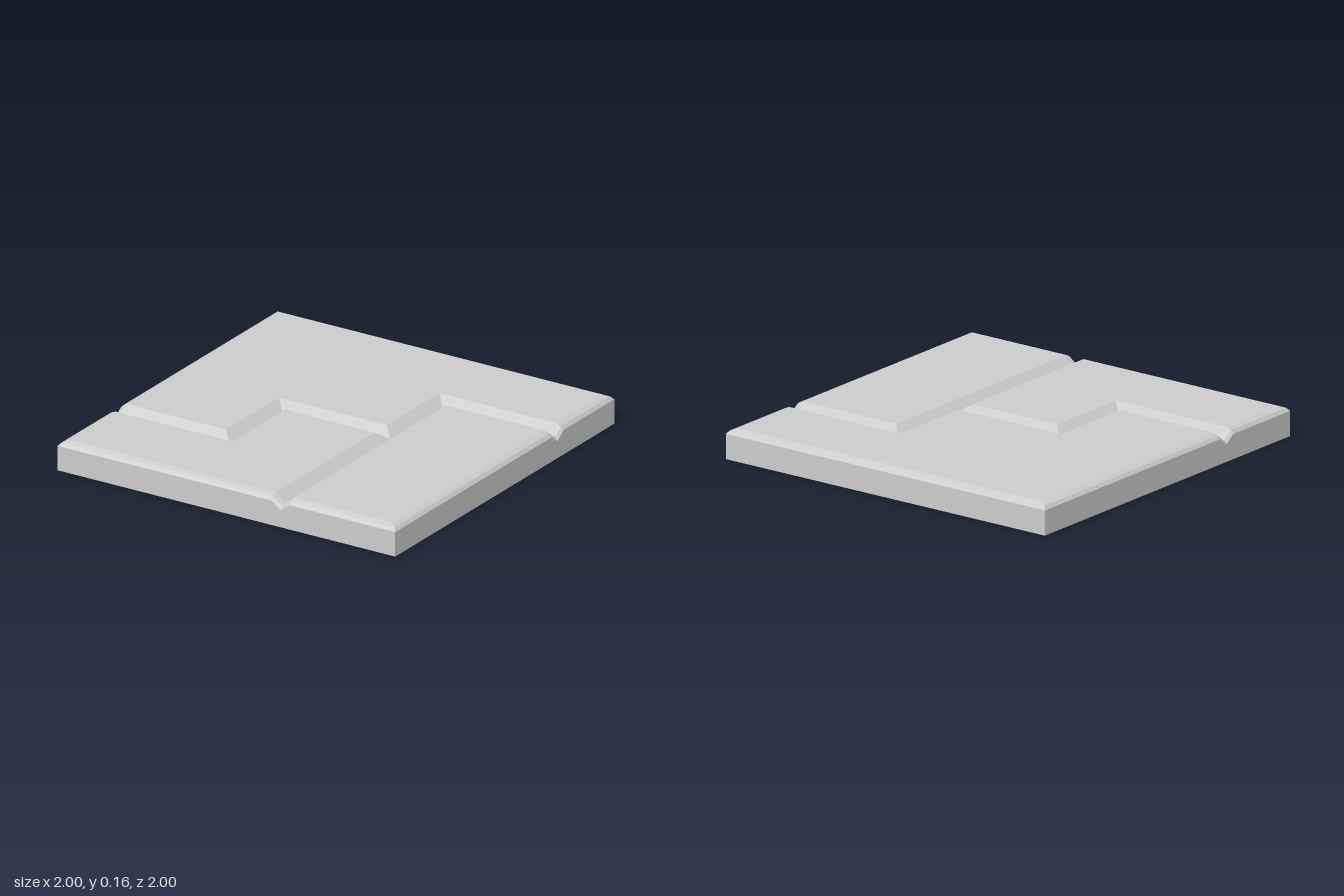
import * as THREE from 'three';

const TOP = 0.16;        // height of the slab
const HALF = 0.055;      // half width of a groove
const DEPTH = 0.04;      // depth of a groove

// Centre lines of the V grooves: x0, z0, x1, z1
const GROOVES = [
  [0.32, -0.48, 1, -0.48],
  [0.32, -0.48, 0.32, 1],
  [-0.32, 0, 0.32, 0],
  [-0.32, 0, -0.32, 0.48],
  [-1, 0.48, -0.32, 0.48],
];

// Rounded rim: drop of the surface by distance from the border
function rimDrop(d) {
  if (d >= 0.04) return 0;
  if (d >= 0.015) return 0.011 * (0.04 - d) / 0.025;
  return 0.011 + 0.017 * (0.015 - d) / 0.015;
}

// Square distance to each centre line gives mitred corners
function grooveDrop(x, z) {
  let drop = 0;
  for (const [x0, z0, x1, z1] of GROOVES) {
    const dist = Math.max(x0 - x, x - x1, z0 - z, z - z1, 0);
    drop = Math.max(drop, DEPTH * (1 - dist / HALF));
  }
  return drop;
}

function height(x, z) {
  const border = 1 - Math.max(Math.abs(x), Math.abs(z));
  return TOP - rimDrop(border) - grooveDrop(x, z);
}

// Grid lines lie on every crease of the surface
function gridLines(centres) {
  const lines = [-1, -0.985, -0.96, 0.96, 0.985, 1];
  for (const c of centres) lines.push(c - HALF, c, c + HALF);
  return lines.sort((a, b) => a - b);
}

function meshFrom(name, positions, material) {
  const geometry = new THREE.BufferGeometry();
  geometry.setAttribute('position', new THREE.Float32BufferAttribute(positions, 3));
  geometry.computeVertexNormals();
  const mesh = new THREE.Mesh(geometry, material);
  mesh.name = name;
  return mesh;
}

export function createModel() {
  const group = new THREE.Group();
  group.name = 'groovedFloorTile';
  const material = new THREE.MeshStandardMaterial({ color: 0xcccccc, flatShading: true });

  const xs = gridLines([-0.32, 0.32]);
  const zs = gridLines([-0.48, 0, 0.48]);
  const point = (x, z) => [x, height(x, z), z];

  // Grooved top: each cell is split along the diagonal that follows its crease
  const top = [];
  for (let i = 0; i < xs.length - 1; i++) {
    for (let j = 0; j < zs.length - 1; j++) {
      const a = point(xs[i], zs[j]);
      const b = point(xs[i], zs[j + 1]);
      const c = point(xs[i + 1], zs[j + 1]);
      const d = point(xs[i + 1], zs[j]);
      const mid = height((xs[i] + xs[i + 1]) / 2, (zs[j] + zs[j + 1]) / 2);
      const errorAC = Math.abs((a[1] + c[1]) / 2 - mid);
      const errorBD = Math.abs((b[1] + d[1]) / 2 - mid);
      if (errorAC <= errorBD) top.push(...a, ...b, ...c, ...a, ...c, ...d);
      else top.push(...a, ...b, ...d, ...b, ...c, ...d);
    }
  }
  group.add(meshFrom('groovedTop', top, material));

  // Side walls: walk round the border and drop to the ground
  const xsBack = [...xs].reverse();
  const zsBack = [...zs].reverse();
  const walls = {
    frontWall: xs.map((x) => point(x, 1)),
    leftWall: zsBack.map((z) => point(1, z)),
    backWall: xsBack.map((x) => point(x, -1)),
    rightWall: zs.map((z) => point(-1, z)),
  };
  for (const [name, rim] of Object.entries(walls)) {
    const wall = [];
    for (let i = 0; i < rim.length - 1; i++) {
      const p = rim[i], q = rim[i + 1];
      const p0 = [p[0], 0, p[2]], q0 = [q[0], 0, q[2]];
      wall.push(...p0, ...q0, ...q, ...p0, ...q, ...p);
    }
    group.add(meshFrom(name, wall, material));
  }

  // Flat underside
  const underside = new THREE.Mesh(new THREE.PlaneGeometry(2, 2).rotateX(Math.PI / 2), material);
  underside.name = 'underside';
  group.add(underside);

  return group;
}
